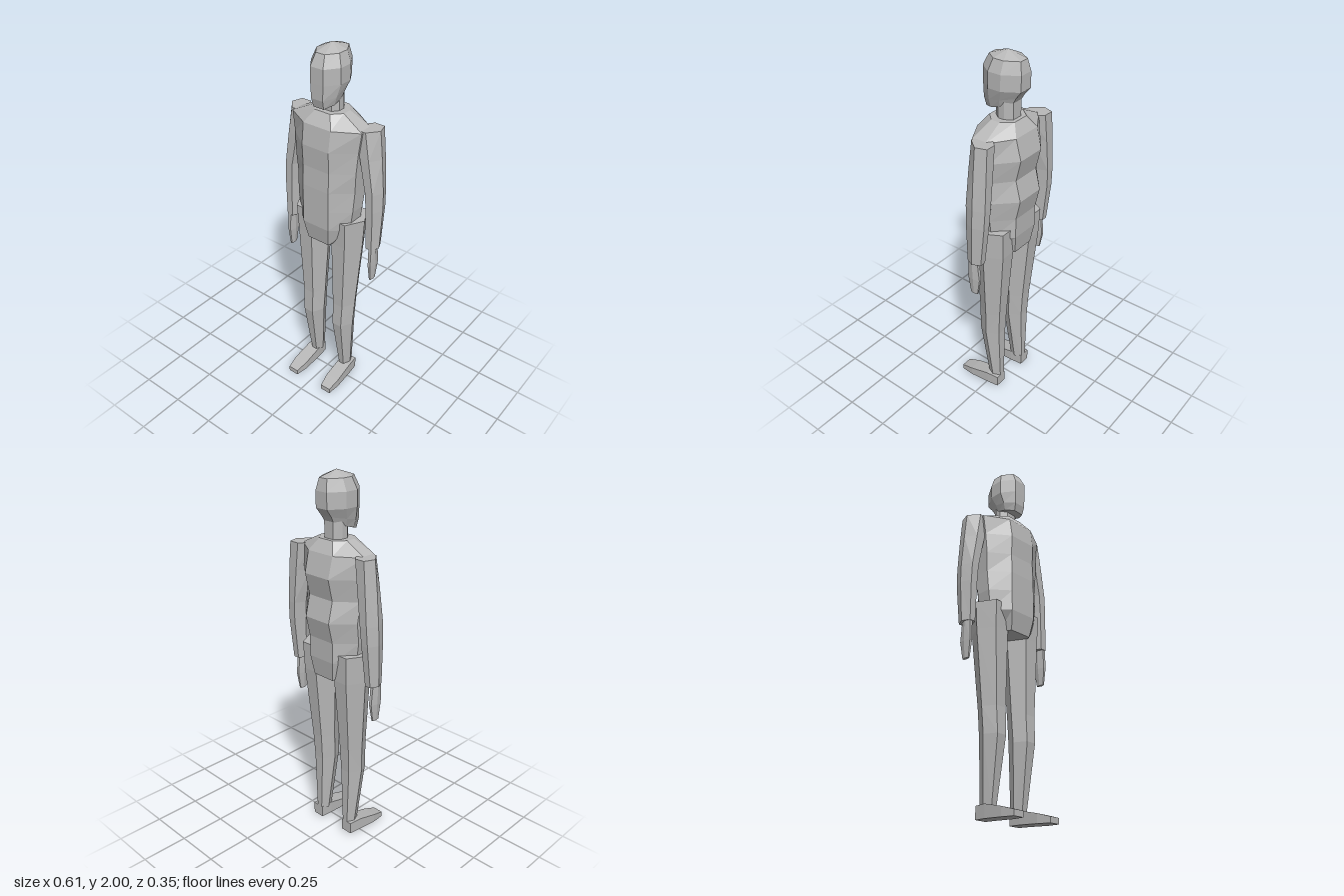
import * as THREE from 'three';

const grey = new THREE.MeshStandardMaterial({ color: 0xb8b8b8, flatShading: true });
grey.name = 'plain grey';

// Skin a list of rings (arrays of [x, y, z]) and close both ends with fans.
function loft(name, rings) {
  const tris = [];
  const n = rings[0].length;
  for (let r = 0; r < rings.length - 1; r++) {
    for (let i = 0; i < n; i++) {
      const j = (i + 1) % n;
      const [a, b, c, d] = [rings[r][i], rings[r][j], rings[r + 1][j], rings[r + 1][i]];
      tris.push([a, b, c], [a, c, d]);
    }
  }
  const centre = (ring) => [0, 1, 2].map((k) => ring.reduce((s, p) => s + p[k], 0) / n);
  const first = rings[0], last = rings[rings.length - 1];
  const c0 = centre(first), c1 = centre(last);
  for (let i = 0; i < n; i++) {
    const j = (i + 1) % n;
    tris.push([first[j], first[i], c0], [last[i], last[j], c1]);
  }
  // turn the faces outwards, also for mirrored parts
  const v = (p) => new THREE.Vector3(...p);
  const volume = tris.reduce((s, t) => s + v(t[0]).dot(v(t[1]).cross(v(t[2]))), 0);
  if (volume < 0) tris.forEach((t) => t.reverse());
  const geo = new THREE.BufferGeometry();
  geo.setAttribute('position', new THREE.Float32BufferAttribute(tris.flat(2), 3));
  geo.computeVertexNormals();
  const mesh = new THREE.Mesh(geo, grey);
  mesh.name = name;
  return mesh;
}

// Eight-sided ring: half width, half width of front and back, z range; tilt raises the back.
function octagon([y, w, flat, front, back, tilt = 0]) {
  const f = front - (front - back) * 0.31, b = back + (front - back) * 0.36;
  const up = (z) => y + tilt * (front - z) / (front - back);
  return [[w, f], [w, b], [flat, back], [-flat, back], [-w, b], [-w, f], [-flat, front], [flat, front]]
    .map(([x, z]) => [x, up(z), z]);
}

// Six-sided limb ring with flat front and back; skew shifts the back outwards.
function hexagon([y, inner, outer, front, back, skew = 0], s) {
  const c = (inner + outer) / 2, h = (outer - inner) * 0.23, mid = (front + back) / 2;
  return [[outer, mid], [c + h + skew, back], [c - h + skew, back], [inner, mid], [c - h - skew, front], [c + h - skew, front]]
    .map(([x, z]) => [x * s, y, z]);
}

export function createModel() {
  const model = new THREE.Group();
  model.name = 'mannequin';

  model.add(loft('torso', [
    [0.96, 0.09, 0.065, 0.08, -0.135],
    [1.065, 0.16, 0.08, 0.1, -0.15],
    [1.175, 0.175, 0.08, 0.1, -0.15],
    [1.285, 0.18, 0.08, 0.1, -0.175],
    [1.395, 0.187, 0.08, 0.095, -0.148],
    [1.51, 0.195, 0.08, 0.1, -0.175],
    [1.62, 0.21, 0.082, 0.085, -0.148],
    [1.68, 0.09, 0.045, 0.04, -0.11],
  ].map(octagon)));

  model.add(loft('neck', [
    [1.66, 0.055, 0.03, 0.012, -0.09],
    [1.79, 0.055, 0.03, 0.012, -0.09],
  ].map(octagon)));

  model.add(loft('head', [
    [1.71, 0.057, 0.03, 0.07, -0.085, 0.045],
    [1.755, 0.07, 0.034, 0.082, -0.105, 0.035],
    [1.83, 0.087, 0.037, 0.083, -0.137],
    [1.91, 0.087, 0.037, 0.083, -0.138],
    [1.97, 0.066, 0.026, 0.055, -0.125],
    [2.0, 0.004, 0.002, -0.031, -0.039],
  ].map(octagon)));

  for (const [side, s] of [['left', 1], ['right', -1]]) {
    const limb = (name, rows) => model.add(loft(side + name, rows.map((r) => hexagon(r, s))));

    limb('Arm', [
      [0.975, 0.225, 0.298, 0.0, -0.085],
      [1.2, 0.215, 0.303, 0.003, -0.11],
      [1.3, 0.207, 0.3, 0.004, -0.115],
      [1.48, 0.175, 0.285, 0.005, -0.115, 0.008],
      [1.625, 0.15, 0.27, 0.003, -0.113, 0.014],
    ]);

    limb('Hand', [
      [0.775, 0.26, 0.278, -0.012, -0.055],
      [0.87, 0.253, 0.285, 0.0, -0.072],
      [0.99, 0.25, 0.287, -0.004, -0.06],
    ]);

    limb('Leg', [
      [0.07, 0.068, 0.135, 0.0, -0.08],
      [0.41, 0.04, 0.163, 0.05, -0.08],
      [0.55, 0.035, 0.17, 0.045, -0.088],
      [0.96, 0.018, 0.2, 0.055, -0.125],
      [1.11, 0.012, 0.21, 0.062, -0.13],
    ]);

    // heel to toe: z, inner x, outer x, sole y, top y
    const foot = [
      [-0.08, 0.08, 0.145, 0.015, 0.08],
      [-0.01, 0.076, 0.152, 0.012, 0.08],
      [0.105, 0.077, 0.157, 0.004, 0.052],
      [0.177, 0.09, 0.15, 0, 0.03],
    ];
    model.add(loft(side + 'Foot', foot.map(([z, a, b, lo, hi]) =>
      [[a * s, lo, z], [b * s, lo, z], [b * s, hi, z], [a * s, hi, z]])));
  }
  return model;
}
